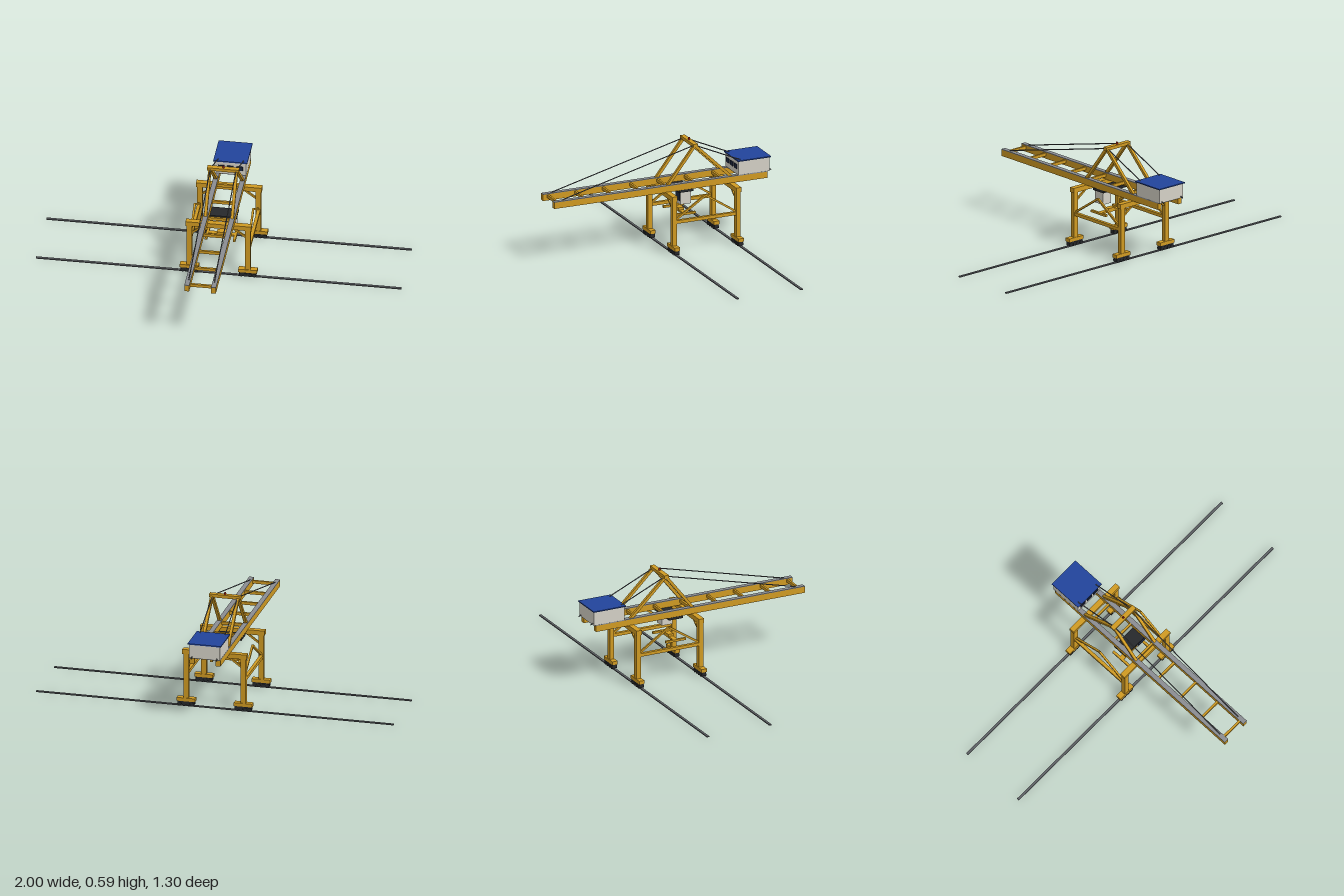
import * as THREE from 'three';

const mat = (color) => new THREE.MeshStandardMaterial({ color });

export function createModel() {
  const crane = new THREE.Group();
  crane.name = 'gantryCrane';
  const yellow = mat(0xd09a22), steel = mat(0x8a8d92), dark = mat(0x26282b);
  const railGrey = mat(0x5c5f63), white = mat(0xd4d1c6), blue = mat(0x22449c);
  const glass = mat(0x1c2740), red = mat(0xb02a1c);

  const add = (name, geometry, material) => {
    const m = new THREE.Mesh(geometry, material);
    m.name = name;
    crane.add(m);
    return m;
  };
  // Box given by its extents on each axis
  const box = (name, material, [x0, x1], [y0, y1], [z0, z1]) => {
    const m = add(name, new THREE.BoxGeometry(x1 - x0, y1 - y0, z1 - z0), material);
    m.position.set((x0 + x1) / 2, (y0 + y1) / 2, (z0 + z1) / 2);
    return m;
  };
  const around = (c, size) => [c - size / 2, c + size / 2];
  const aim = (m, a, b) => {
    m.position.copy(a).add(b).multiplyScalar(0.5);
    m.lookAt(b);
    return m;
  };
  // Square bar between two points
  const bar = (name, material, p, q, t) => {
    const a = new THREE.Vector3(...p), b = new THREE.Vector3(...q);
    return aim(add(name, new THREE.BoxGeometry(t, t, a.distanceTo(b)), material), a, b);
  };
  // Round cable between two points
  const cable = (name, p, q, r) => {
    const a = new THREE.Vector3(...p), b = new THREE.Vector3(...q);
    const g = new THREE.CylinderGeometry(r, r, a.distanceTo(b), 8).rotateX(Math.PI / 2);
    return aim(add(name, g, railGrey), a, b);
  };

  const frames = [-0.025, -0.404]; // z of the two portal frames
  const legX = 0.16, girderX = 0.073;
  const apex = [0.57, -0.19];

  for (const z of frames) {
    // Ground rail and portal cross beam
    box('groundRail', railGrey, [-1, 1], [0, 0.006], around(z, 0.014));
    box('portalBeam', yellow, [-0.18, 0.18], [0.303, 0.33], around(z, 0.031));

    for (const s of [-1, 1]) {
      const x = s * legX;
      box('leg', yellow, around(x, 0.029), [0.045, 0.31], around(z, 0.026));
      box('sillBeam', yellow, around(x, 0.103), [0.03, 0.049], around(z, 0.032));
      box('bogie', dark, around(x, 0.094), [0.012, 0.031], around(z, 0.026));
      for (let i = 0; i < 4; i++) {
        const wheel = add('wheel', new THREE.CylinderGeometry(0.011, 0.011, 0.03, 16), dark);
        wheel.rotation.x = Math.PI / 2;
        wheel.position.set(x + (i - 1.5) * 0.024, 0.014, z);
      }
      bar('kneeBrace', yellow, [x, 0.245, z], [s * 0.075, 0.307, z], 0.01);
    }
  }

  for (const s of [-1, 1]) {
    // Side tie beam with its inverted-V bracing
    const x = s * legX;
    box('sideBeam', yellow, around(x + s * 0.004, 0.018), [0.173, 0.191], [frames[1], frames[0]]);
    for (const z of frames) bar('sideBrace', yellow, [x, 0.185, z], [x, 0.309, -0.2145], 0.011);

    // Main boom girder with its walkway strip
    const gx = s * girderX;
    box('girder', yellow, around(gx, 0.026), [0.328, 0.363], [-0.618, 0.65]);
    box('girderTop', steel, around(gx, 0.027), [0.363, 0.367], [-0.618, 0.65]);

    // A-frame legs and stays
    for (const z of [-0.027, -0.405]) bar('aFrameLeg', yellow, [gx, 0.362, z], [gx, ...apex], 0.016);
    cable('foreStay', [s * 0.07, ...apex], [s * 0.07, 0.367, 0.6], 0.003);
    cable('backStay', [s * 0.07, ...apex], [s * 0.07, 0.367, -0.645], 0.003);
  }

  // Cross ties between the girders
  for (let i = 0; i < 8; i++)
    box('crossTie', yellow, [-0.062, 0.062], [0.343, 0.36], around(0.62 - i * 0.1625, 0.012));

  // A-frame head and warning light
  box('headBeam', yellow, [-0.087, 0.087], [0.562, 0.58], around(-0.19, 0.027));
  const lamp = add('warningLight', new THREE.CylinderGeometry(0.005, 0.006, 0.013, 12), red);
  lamp.position.set(0, 0.586, -0.19);

  // Machinery house
  box('houseFloor', steel, [-0.086, 0.086], [0.365, 0.369], [-0.63, -0.445]);
  box('machineryHouse', white, [-0.086, 0.086], [0.368, 0.446], [-0.63, -0.445]);
  box('houseRoof', blue, [-0.093, 0.093], [0.445, 0.451], [-0.636, -0.439]);
  for (const x of [-0.05, 0, 0.05])
    box('houseWindow', glass, around(x, 0.036), [0.397, 0.422], [-0.447, -0.441]);

  // Trolley and operator cabin
  box('trolley', dark, [-0.087, 0.087], [0.315, 0.329], [-0.176, -0.092]);
  box('cabin', white, [0.02, 0.08], [0.245, 0.316], [-0.165, -0.101]);
  box('cabinWindow', glass, [0.023, 0.077], [0.264, 0.314], [-0.103, -0.098]);

  // Spreader with end beams and head block
  box('spreader', yellow, [-0.083, 0.083], [0.184, 0.194], around(-0.132, 0.026));
  for (const x of [-0.077, 0.077])
    box('spreaderEnd', yellow, around(x, 0.014), [0.183, 0.195], [-0.192, -0.07]);
  box('headBlock', yellow, [-0.024, 0.024], [0.193, 0.207], around(-0.132, 0.032));

  return crane;
}
